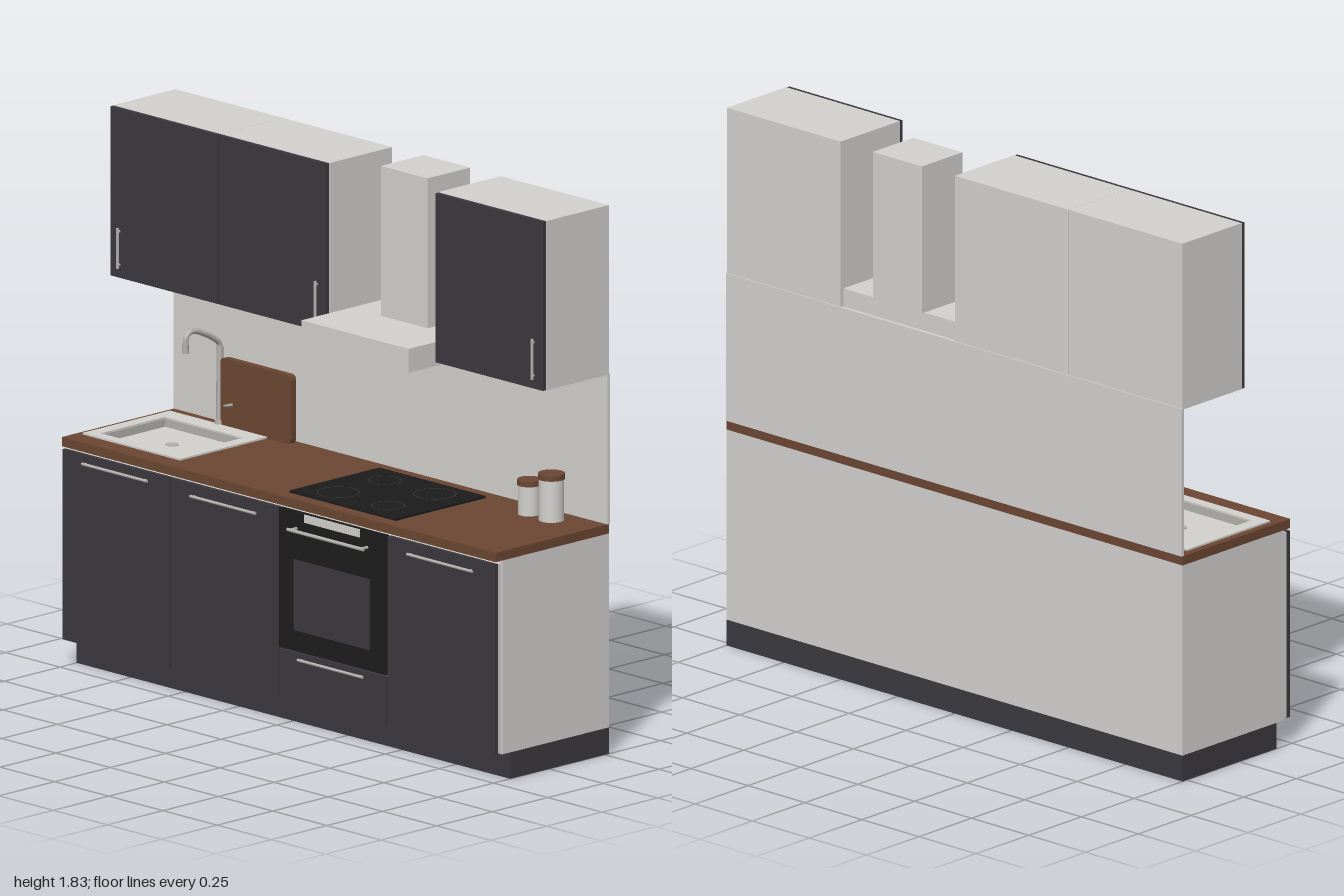
import * as THREE from 'three';

const mat = (name, color) => {
  const m = new THREE.MeshStandardMaterial({ color });
  m.name = name;
  return m;
};

export function createModel() {
  const white = mat('white panel', 0xd2d1ce);
  const slate = mat('slate front', 0x3b393f);
  const wood = mat('brown wood', 0x6c4733);
  const black = mat('black glass', 0x1c1c1d);
  const steel = mat('brushed steel', 0xb4b1ad);
  const root = new THREE.Group();
  root.name = 'kitchen';

  const add = (name, geo, material, x = 0, y = 0, z = 0, parent = root) => {
    const m = new THREE.Mesh(geo, material);
    m.name = name;
    m.position.set(x, y, z);
    parent.add(m);
    return m;
  };
  // Box given by its extents
  const box = (name, material, x0, x1, y0, y1, z0, z1, parent = root) =>
    add(name, new THREE.BoxGeometry(x1 - x0, y1 - y0, z1 - z0), material,
      (x0 + x1) / 2, (y0 + y1) / 2, (z0 + z1) / 2, parent);
  const tube = (name, pts, r, n = 24) => add(name, new THREE.TubeGeometry(
    new THREE.CatmullRomCurve3(pts.map(p => new THREE.Vector3(...p)), false, 'catmullrom', 0.3), n, r, 12), steel);
  const rect = (shape, x0, x1, y0, y1) => {
    shape.moveTo(x0, y0); shape.lineTo(x1, y0); shape.lineTo(x1, y1); shape.lineTo(x0, y1);
    shape.closePath();
    return shape;
  };
  // Horizontal slab with a rectangular hole; limits are [x0, x1, z0, z1]
  const slab = (name, material, o, h, y0, y1) => {
    const s = rect(new THREE.Shape(), o[0], o[1], -o[3], -o[2]);
    s.holes.push(rect(new THREE.Path(), h[0], h[1], -h[3], -h[2]));
    const g = new THREE.ExtrudeGeometry(s, { depth: y1 - y0, bevelEnabled: false });
    g.rotateX(-Math.PI / 2);
    return add(name, g, material, 0, y0, 0);
  };
  // Bar handle with two short feet, along x or upright
  const handle = (name, x, y, z, len, r, reach, upright = false) => {
    const g = new THREE.Group();
    g.name = name;
    const bar = add('bar', new THREE.CylinderGeometry(r, r, len, 12), steel, 0, 0, reach, g);
    bar.rotation.z = Math.PI / 2;
    for (const s of [-1, 1]) {
      const foot = add('foot', new THREE.CylinderGeometry(r * 0.9, r * 0.9, reach, 10), steel,
        s * (len / 2 - 0.012), 0, reach / 2, g);
      foot.rotation.x = Math.PI / 2;
    }
    if (upright) g.rotation.z = Math.PI / 2;
    g.position.set(x, y, z);
    root.add(g);
  };

  // Base cabinets
  box('plinth', slate, -1, 1, 0, 0.088, -0.27, 0.175);
  box('baseCabinet', white, -1, 1, 0.088, 0.735, -0.27, 0.21);
  box('baseCabinetFront', white, -0.996, 0.994, 0.094, 0.724, 0.21, 0.227);
  for (const [x0, x1] of [[-1, -0.5], [-0.5, 0], [0.5, 1]]) {
    box('baseDoor', slate, x0 + 0.002, x1 - 0.003, 0.092, 0.726, 0.227, 0.241);
    handle('baseDoorHandle', (x0 + x1) / 2, x0 < -0.9 ? 0.697 : 0.686, 0.241, 0.3, 0.005, 0.008);
  }

  // Oven with drawer below
  box('ovenFront', black, 0.002, 0.495, 0.26, 0.726, 0.227, 0.241);
  box('ovenWindow', slate, 0.07, 0.42, 0.33, 0.566, 0.24, 0.244);
  box('ovenDisplay', white, 0.12, 0.375, 0.697, 0.724, 0.24, 0.244);
  handle('ovenHandle', 0.245, 0.67, 0.241, 0.35, 0.006, 0.029);
  box('ovenDrawer', slate, 0.002, 0.495, 0.092, 0.255, 0.227, 0.241);
  handle('drawerHandle', 0.245, 0.235, 0.241, 0.3, 0.005, 0.008);

  // Worktop and splashback
  const hole = [-0.935, -0.565, -0.16, 0.14];
  slab('worktop', wood, [-1, 1, -0.27, 0.241], hole, 0.735, 0.766);
  box('splashback', white, -1, 1, 0.766, 1.268, -0.274, -0.262);

  // Sink
  slab('sinkRim', white, [-0.975, -0.525, -0.22, 0.172], [-0.93, -0.57, -0.155, 0.135], 0.766, 0.772);
  slab('sinkWall', steel, hole, [-0.925, -0.575, -0.15, 0.13], 0.737, 0.768);
  box('sinkFloor', white, -0.93, -0.57, 0.736, 0.741, -0.155, 0.135);
  add('sinkDrain', new THREE.CylinderGeometry(0.022, 0.022, 0.003, 20), steel, -0.75, 0.742, -0.01);

  // Tap
  add('tapBase', new THREE.CylinderGeometry(0.017, 0.019, 0.02, 20), steel, -0.75, 0.776, -0.226);
  add('tapPost', new THREE.CylinderGeometry(0.011, 0.013, 0.26, 16), steel, -0.75, 0.9, -0.226);
  tube('tapSpout', [[-0.75, 1.02, -0.226], [-0.75, 1.045, -0.22], [-0.75, 1.075, -0.175],
    [-0.75, 1.1, -0.12], [-0.75, 1.102, -0.09], [-0.75, 1.085, -0.073], [-0.75, 1.05, -0.071]], 0.0095);
  add('tapNozzle', new THREE.CylinderGeometry(0.011, 0.011, 0.03, 16), steel, -0.75, 1.05, -0.071);
  tube('tapLever', [[-0.745, 0.832, -0.226], [-0.71, 0.84, -0.22], [-0.675, 0.85, -0.215]], 0.005, 8);

  // Cutting board with rounded corners
  const w = 0.325, h = 0.23, r = 0.02;
  const b = new THREE.Shape();
  b.moveTo(r, 0); b.lineTo(w - r, 0); b.quadraticCurveTo(w, 0, w, r);
  b.lineTo(w, h - r); b.quadraticCurveTo(w, h, w - r, h);
  b.lineTo(r, h); b.quadraticCurveTo(0, h, 0, h - r);
  b.lineTo(0, r); b.quadraticCurveTo(0, 0, r, 0);
  add('cuttingBoard', new THREE.ExtrudeGeometry(b, { depth: 0.024, bevelEnabled: false }),
    wood, -0.74, 0.766, -0.242);

  // Hob with ring markings
  box('hob', black, 0.002, 0.492, 0.766, 0.773, -0.21, 0.195);
  for (const [x, z, rad] of [[0.13, 0.1, 0.07], [0.36, 0.1, 0.055], [0.13, -0.11, 0.055], [0.36, -0.11, 0.07]]) {
    const ring = add('hobRing', new THREE.RingGeometry(rad - 0.003, rad, 32), slate, x, 0.7738, z);
    ring.rotation.x = -Math.PI / 2;
  }

  // Storage jars
  for (const [x, rad, top] of [[0.728, 0.036, 0.882], [0.831, 0.041, 0.922]]) {
    add('jar', new THREE.CylinderGeometry(rad, rad, top - 0.782, 28), white, x, (top - 0.016 + 0.766) / 2, -0.175);
    add('jarLid', new THREE.CylinderGeometry(rad + 0.003, rad + 0.003, 0.018, 28), wood, x, top - 0.009, -0.175);
  }

  // Wall cabinets
  for (const [x0, x1, hx] of [[-1, -0.5, -0.956], [-0.5, 0, -0.045], [0.5, 1, 0.955]]) {
    box('wallCabinet', white, x0, x1 - 0.001, 1.265, 1.83, -0.27, 0.011);
    box('wallDoor', slate, x0 + 0.002, x1 - 0.003, 1.265, 1.829, 0.011, 0.025);
    handle('wallDoorHandle', hx, 1.364, 0.025, 0.135, 0.005, 0.008, true);
  }

  // Extractor hood
  box('hoodCanopy', white, 0.001, 0.495, 1.25, 1.33, -0.262, 0.14);
  box('hoodChimney', white, 0.14, 0.355, 1.33, 1.83, -0.274, -0.082);

  return root;
}
